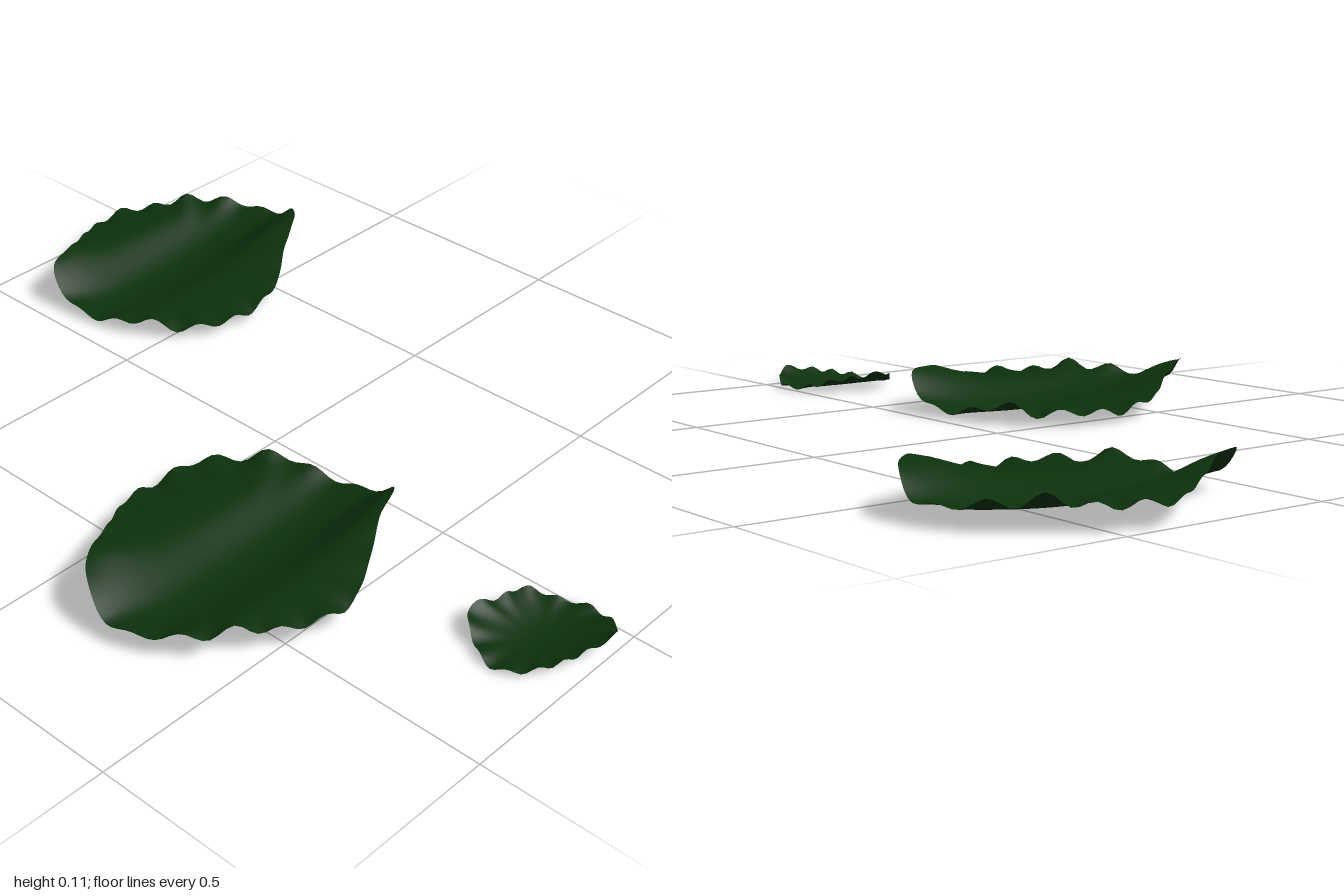
import * as THREE from 'three';

const leafGreen = new THREE.MeshStandardMaterial({ color: 0x0c300c, side: THREE.DoubleSide });
leafGreen.name = 'leafGreen';

// Outlines as [x, z] around each leaf's own centre
const LARGE = [
  [-0.36, -0.02], [-0.32, -0.12], [-0.17, -0.22], [-0.06, -0.29], [0.06, -0.31], [0.18, -0.29],
  [0.28, -0.2], [0.33, -0.1], [0.355, 0.03], [0.34, 0.14], [0.23, 0.195], [0.12, 0.26],
  [0.03, 0.3], [-0.05, 0.3], [-0.2, 0.215], [-0.3, 0.13],
];
const SMALL = [
  [-0.145, -0.015], [-0.115, -0.085], [-0.065, -0.135], [0.005, -0.118], [0.08, -0.1], [0.115, -0.045],
  [0.143, 0.015], [0.118, 0.095], [0.075, 0.13], [0.005, 0.115], [-0.065, 0.085], [-0.125, 0.035],
];

const bell = (d, width) => Math.exp(-0.5 * (d / width) ** 2);

// Ridge section, narrow towards the valley and wide towards the rim
const ridge = (d) => bell(d, d < 0 ? 0.075 : 0.25);

// Two long ridges, each swelling to a hump at one end, a valley between and a ruffled rim
function largeHeight(x, z, r, angle) {
  const valley = -0.002 + 0.22 * (x - 0.08) ** 2;
  const back = (0.047 - 0.03 * x + 0.033 * bell(x + 0.25, 0.1)) * ridge(-z - 0.15);
  const front = (0.063 + 0.05 * x + 0.028 * bell(x - 0.27, 0.1)) * ridge(z - 0.19);
  const ruffle = 0.011 * Math.sin(angle * 19) + 0.006 * Math.sin(angle * 11 + 1);
  return valley + back + front + r ** 8 * (0.65 - 0.45 * Math.sin(2 * angle)) * ruffle;
}

// Shallow, slightly twisted trough, lifted at front and back
function smallHeight(x, z, r, angle) {
  const twist = -0.5 * (0.82 * x - 0.57 * z) * (0.57 * x + 0.82 * z);
  return 0.012 + 2 * z * z + 0.4 * x * x + twist + r ** 5 * 0.006 * Math.sin(angle * 13);
}

// Thin sheet of concentric rings, filling an outline and following a height rule
function makeLeaf(name, outline, height, rings, segments) {
  const curve = new THREE.CatmullRomCurve3(outline.map(([x, z]) => new THREE.Vector3(x, 0, z)), true);
  const rim = curve.getSpacedPoints(segments);
  const positions = [0, height(0, 0, 0, 0), 0];
  const index = [];
  for (let i = 1; i <= rings; i++) {
    const r = i / rings;
    for (let j = 0; j < segments; j++) {
      const x = rim[j].x * r, z = rim[j].z * r;
      positions.push(x, height(x, z, r, Math.atan2(z, x)), z);
      const next = (j + 1) % segments;
      const a = 1 + (i - 1) * segments + j, b = 1 + (i - 1) * segments + next;
      if (i === 1) index.push(0, b, a);
      else {
        const c = a - segments, d = b - segments;
        index.push(c, b, a, c, d, b);
      }
    }
  }
  const geometry = new THREE.BufferGeometry();
  geometry.setAttribute('position', new THREE.Float32BufferAttribute(positions, 3));
  geometry.setIndex(index);
  geometry.computeVertexNormals();
  const leaf = new THREE.Mesh(geometry, leafGreen);
  leaf.name = name;
  return leaf;
}

export function createModel() {
  const model = new THREE.Group();
  model.name = 'floatingLeaves';

  const middleLeaf = makeLeaf('middleLeaf', LARGE, largeHeight, 24, 128);
  middleLeaf.position.set(-0.38, 0, 0.25);

  // Same leaf, turned half round and slightly smaller
  const backLeaf = makeLeaf('backLeaf', LARGE, largeHeight, 24, 128);
  backLeaf.position.set(0.395, 0, -0.705);
  backLeaf.rotation.y = Math.PI;
  backLeaf.scale.setScalar(0.955);

  const smallLeaf = makeLeaf('smallLeaf', SMALL, smallHeight, 12, 80);
  smallLeaf.position.set(-0.135, 0, 0.865);

  model.add(middleLeaf, backLeaf, smallLeaf);
  return model;
}
